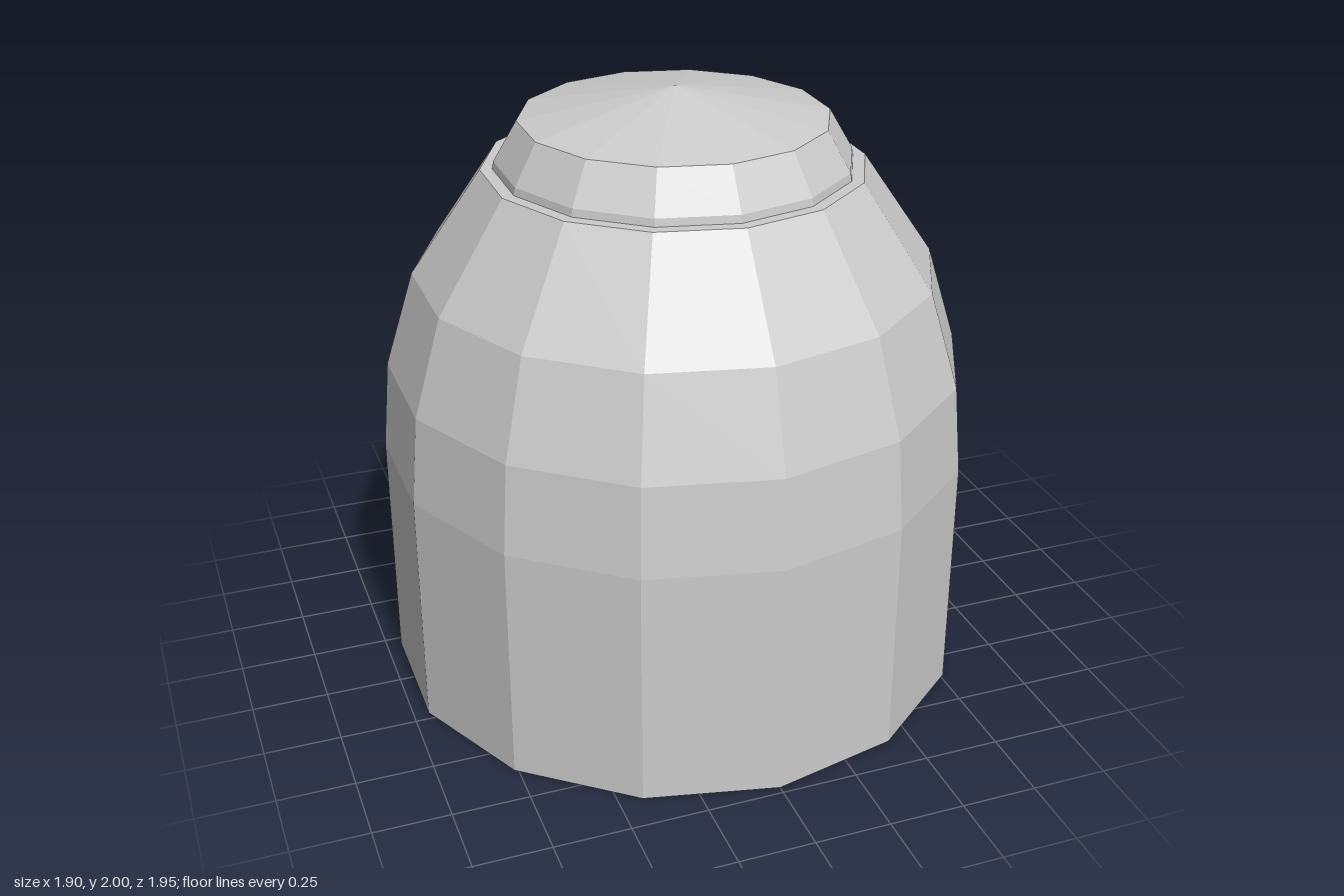
import * as THREE from 'three';

const SIDES = 14;

export function createModel() {
  const group = new THREE.Group();
  group.name = 'facetedDome';

  const grey = new THREE.MeshStandardMaterial({
    color: 0xcccccc,
    flatShading: true,
    side: THREE.DoubleSide,
  });
  grey.name = 'light grey';

  // Turn a profile of [radius, height] pairs, listed from bottom to top
  const turned = (name, profile) => {
    const points = profile.map(([r, y]) => new THREE.Vector2(r, y));
    const mesh = new THREE.Mesh(new THREE.LatheGeometry(points, SIDES), grey);
    mesh.name = name;
    group.add(mesh);
  };

  // Hollow body, open at the bottom
  turned('body', [
    [0.975, 0], [0.975, 0.8], [0.948, 1.095], [0.85, 1.41], [0.617, 1.75],
  ]);

  // Narrow flat ledge between body and cap
  turned('ledge', [[0.617, 1.75], [0.577, 1.75]]);

  // Cap with a short upright rim and a shallow pointed top
  turned('cap', [[0.577, 1.75], [0.573, 1.775], [0.497, 1.905]]);
  turned('capTop', [[0.497, 1.905], [0, 2]]);

  return group;
}
